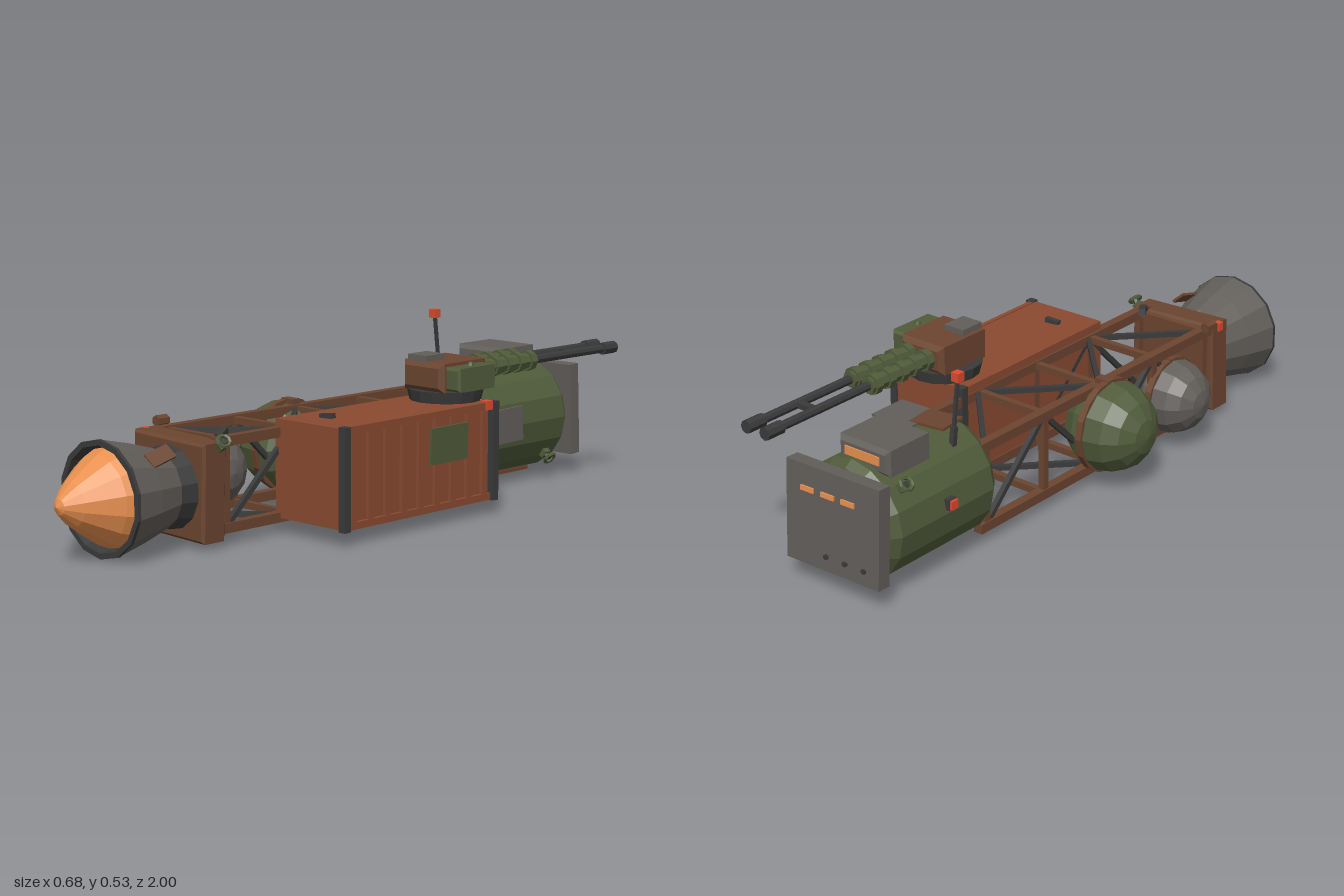
import * as THREE from 'three';

const COLORS = {
  rust: 0x8a4a30, brown: 0x6b4530, green: 0x505b3a, grey: 0x625e5a, dark: 0x3a3a3b,
  orange: 0xe8904f, red: 0xdc4a2e, yellow: 0xc39a2a,
};
const mats = {};
for (const k in COLORS) {
  mats[k] = new THREE.MeshStandardMaterial({ color: COLORS[k], flatShading: true, side: THREE.DoubleSide });
}

export function createModel() {
  const root = new THREE.Group();
  const group = (name) => { const g = new THREE.Group(); g.name = name; root.add(g); return g; };
  const put = (parent, name, geo, color, pos = [0, 0, 0], rot = [0, 0, 0]) => {
    const m = new THREE.Mesh(geo, mats[color]);
    m.name = name;
    m.position.set(...pos);
    m.rotation.set(...rot);
    parent.add(m);
    return m;
  };
  const box = (parent, name, color, size, pos, rot) =>
    put(parent, name, new THREE.BoxGeometry(...size), color, pos, rot);
  // Solid of revolution along z, from [radius, z] pairs
  const latheZ = (parent, name, color, pts, sides, pos) => {
    const geo = new THREE.LatheGeometry(pts.map(([r, z]) => new THREE.Vector2(r, z)), sides);
    return put(parent, name, geo.rotateX(Math.PI / 2), color, pos);
  };
  // Square bar between two points
  const beam = (parent, name, color, a, b, t) => {
    const p = new THREE.Vector3(...a), q = new THREE.Vector3(...b);
    const m = box(parent, name, color, [t, t, p.distanceTo(q)], p.clone().lerp(q, 0.5).toArray());
    m.lookAt(q);
    return m;
  };
  // Box with chamfered edges
  const chamferBox = (parent, name, color, [w, h, d], c, pos) => {
    const x = w / 2 - c, y = h / 2 - c, s = new THREE.Shape();
    s.moveTo(-x, -y); s.lineTo(x, -y); s.lineTo(x, y); s.lineTo(-x, y); s.closePath();
    const geo = new THREE.ExtrudeGeometry(s, {
      depth: d - 2 * c, bevelEnabled: true, bevelSize: c, bevelThickness: c, bevelSegments: 1,
    }).translate(0, 0, c - d / 2);
    return put(parent, name, geo, color, pos);
  };
  // Small hand-wheel valve
  const valve = (name, pos, rot) => {
    const g = group(name);
    g.position.set(...pos);
    g.rotation.set(...rot);
    put(g, 'valveStem', new THREE.CylinderGeometry(0.009, 0.012, 0.04, 6), 'dark');
    put(g, 'valveWheel', new THREE.TorusGeometry(0.018, 0.006, 5, 8), 'green', [0, 0.02, 0], [Math.PI / 2, 0, 0]);
    box(g, 'valveBody', 'green', [0.025, 0.02, 0.025], [0, -0.005, 0]);
  };

  // Truss spine
  const truss = group('truss');
  const L = -0.165, R = 0.073, B = 0.05, T = 0.29;
  for (const x of [L, R]) for (const y of [B, T]) beam(truss, 'longeron', 'brown', [x, y, -0.53], [x, y, 0.54], 0.028);
  for (let i = 0; i < 5; i++) {
    const z = -0.5 + i * 0.25;
    for (const y of [B, T]) beam(truss, 'crossBar', 'brown', [L, y, z], [R, y, z], 0.02);
    for (const x of [L, R]) beam(truss, 'upright', 'brown', [x, B, z], [x, T, z], 0.02);
    if (i === 4) break;
    const [x0, x1] = i % 2 ? [R, L] : [L, R];
    const [y0, y1] = i % 2 ? [T, B] : [B, T];
    for (const y of [B, T]) beam(truss, 'diagonal', 'dark', [x0, y, z], [x1, y, z + 0.25], 0.015);
    for (const x of [L, R]) beam(truss, 'diagonal', 'dark', [x, y0, z], [x, y1, z + 0.25], 0.015);
  }

  // Engine, nozzle and exhaust plume
  const engine = group('engine');
  const axis = [-0.031, 0.164, 0];
  chamferBox(engine, 'engineMount', 'brown', [0.29, 0.275, 0.085], 0.008, [-0.04, 0.163, 0.565]).rotation.z = -0.03;
  latheZ(engine, 'collar', 'dark', [[0, 0.6], [0.12, 0.6], [0.107, 0.665], [0, 0.665]], 14, axis);
  latheZ(engine, 'bell', 'grey', [[0.085, 0.64], [0.112, 0.66], [0.138, 0.75], [0.162, 0.853]], 14, axis);
  latheZ(engine, 'bellRim', 'dark', [[0.162, 0.845], [0.162, 0.855], [0.146, 0.855], [0.139, 0.81], [0.1, 0.7]], 14, axis);
  latheZ(engine, 'plume', 'orange',
    [[0.138, 0.82], [0.122, 0.86], [0.095, 0.9], [0.06, 0.95], [0.022, 0.99], [0, 1]], 14, axis);
  box(engine, 'bellPatch', 'brown', [0.045, 0.008, 0.08], [0.06, 0.275, 0.72], [0.25, 0, -0.75]);
  box(engine, 'mountLamp', 'red', [0.02, 0.026, 0.02], [-0.177, 0.292, 0.565]);
  put(engine, 'pipeCap', new THREE.CylinderGeometry(0.016, 0.016, 0.04, 6), 'brown', [-0.187, 0.315, 0.5], [Math.PI / 2, 0, 0]);
  beam(engine, 'mountStrut', 'dark', [0.04, 0.31, 0.47], [0.07, 0.3, 0.52], 0.022);
  valve('mountValve', [0.115, 0.29, 0.55], [0.3, 0, -0.8]);

  // Strapped spherical tanks
  for (const [name, color, r, x, y, z] of [
    ['greenTank', 'green', 0.134, -0.211, 0.18, 0], ['greyTank', 'grey', 0.112, -0.189, 0.152, 0.325],
  ]) {
    const g = group(name);
    g.position.set(x, y, z);
    put(g, 'sphere', new THREE.SphereGeometry(r, 12, 8).rotateZ(Math.PI / 2), color);
    put(g, 'strap', new THREE.CylinderGeometry(r + 0.006, r + 0.006, 0.02, 16), 'brown', [0.012, 0, 0], [0, 0, Math.PI / 2]);
    for (const dy of [-1, 1]) box(g, 'bracket', 'brown', [0.05, 0.02, 0.03], [0.025, dy * r * 0.97, 0]);
  }

  // Cargo container on the left side
  const cargo = group('container');
  cargo.position.set(0.19, 0.188, -0.012);
  cargo.rotation.y = 0.01;
  box(cargo, 'containerBody', 'rust', [0.25, 0.28, 0.63]);
  for (let i = 0; i < 9; i++) box(cargo, 'rib', 'rust', [0.012, 0.255, 0.022], [0.129, 0, -0.272 + i * 0.068]);
  for (const y of [-0.133, 0.133]) box(cargo, 'sideRail', 'rust', [0.014, 0.02, 0.61], [0.129, y, 0]);
  for (const [x, z] of [[0.134, 0.308], [0.134, -0.308], [-0.118, -0.312]]) {
    box(cargo, 'cornerPost', 'dark', [0.024, 0.29, 0.024], [x, 0, z]);
  }
  box(cargo, 'sidePatch', 'green', [0.008, 0.105, 0.155], [0.139, 0.046, -0.11], [0, 0, -0.03]);
  for (let i = 0; i < 8; i++) {
    box(cargo, 'hazardStripe', i % 2 ? 'dark' : 'yellow', [0.029, 0.03, 0.006], [-0.1 + i * 0.029, -0.118, -0.317]);
  }
  box(cargo, 'roofLatch', 'dark', [0.045, 0.014, 0.016], [-0.022, 0.146, 0.215], [0, 0.15, 0.1]);
  box(cargo, 'cornerLamp', 'red', [0.026, 0.026, 0.026], [0.13, 0.135, -0.283]);

  // Twin-barrel turret
  const turret = group('turret');
  put(turret, 'turretRing', new THREE.CylinderGeometry(0.112, 0.104, 0.034, 16), 'dark', [0.19, 0.348, -0.26]);
  chamferBox(turret, 'turretBody', 'brown', [0.156, 0.085, 0.2], 0.014, [0.188, 0.406, -0.26]);
  box(turret, 'hatch', 'grey', [0.07, 0.018, 0.08], [0.16, 0.456, -0.21]);
  chamferBox(turret, 'ammoBox', 'green', [0.055, 0.068, 0.16], 0.007, [0.296, 0.406, -0.25]);
  put(turret, 'ammoKnob', new THREE.CylinderGeometry(0.008, 0.012, 0.012, 6), 'green', [0.296, 0.444, -0.25]);
  for (const x of [0.154, 0.222]) {
    const rod = (name, color, r, z0, z1) => put(turret, name,
      new THREE.CylinderGeometry(r, r, z1 - z0, 8).rotateX(Math.PI / 2), color, [x, 0.412, (z0 + z1) / 2]);
    rod('barrel', 'dark', 0.013, -0.96, -0.34);
    rod('muzzle', 'dark', 0.019, -1, -0.94);
    rod('shroud', 'green', 0.024, -0.61, -0.37);
    for (let i = 0; i < 5; i++) rod('shroudRing', 'green', 0.031, -0.6 + i * 0.052, -0.578 + i * 0.052);
  }
  box(turret, 'barrelBrace', 'dark', [0.07, 0.016, 0.02], [0.188, 0.412, -0.81]);

  // Rear drum module
  const drum = group('drum');
  const hub = [-0.055, 0.193, 0];
  latheZ(drum, 'drumShell', 'green',
    [[0.12, -0.925], [0.155, -0.92], [0.173, -0.895], [0.173, -0.535], [0.15, -0.505]], 16, hub);
  latheZ(drum, 'drumFrontCap', 'brown', [[0.15, -0.505], [0.12, -0.49], [0, -0.485]], 16, hub);
  latheZ(drum, 'drumNeck', 'brown', [[0, -0.94], [0.13, -0.94], [0.13, -0.9]], 16, hub);
  const plate = new THREE.Group();
  plate.name = 'endPlate';
  plate.position.set(-0.055, 0.208, -0.955);
  plate.rotation.set(0.05, 0.03, 0);
  drum.add(plate);
  box(plate, 'plate', 'grey', [0.32, 0.285, 0.042], [0, 0, 0]);
  for (let i = 0; i < 3; i++) {
    box(plate, 'lightStrip', 'orange', [0.045, 0.014, 0.008], [0.085 - i * 0.07, 0.075, -0.022]);
    put(plate, 'bolt', new THREE.CylinderGeometry(0.008, 0.008, 0.01, 6), 'dark',
      [0.02 - i * 0.065, -0.1, -0.022], [Math.PI / 2, 0, 0]);
  }
  chamferBox(drum, 'roofHousing', 'grey', [0.178, 0.075, 0.17], 0.012, [-0.08, 0.374, -0.795]);
  box(drum, 'roofWindow', 'orange', [0.12, 0.025, 0.006], [-0.08, 0.378, -0.881]);
  box(drum, 'roofPatchBrown', 'brown', [0.11, 0.008, 0.09], [-0.08, 0.375, -0.595], [0, 0.1, -0.03]);
  box(drum, 'roofPatchGrey', 'grey', [0.14, 0.007, 0.12], [0.015, 0.37, -0.61], [0, 0, -0.03]);
  box(drum, 'sidePatch', 'grey', [0.008, 0.105, 0.14], [0.119, 0.198, -0.62], [0.03, 0, 0]);
  box(drum, 'bellyPatch', 'brown', [0.11, 0.012, 0.28], [-0.055, 0.022, -0.72]);
  box(drum, 'sideLampBase', 'dark', [0.02, 0.03, 0.03], [-0.227, 0.22, -0.71]);
  box(drum, 'sideLamp', 'red', [0.018, 0.025, 0.025], [-0.236, 0.22, -0.71]);
  valve('lowerValve', [0.085, 0.078, -0.845], [0, 0, -2.2]);
  valve('upperValve', [-0.19, 0.31, -0.85], [0, 0, 0.8]);

  // Antenna mast
  const antenna = group('antenna');
  beam(antenna, 'mast', 'dark', [-0.152, 0.3, -0.615], [-0.153, 0.51, -0.59], 0.009);
  beam(antenna, 'mastBase', 'dark', [-0.152, 0.3, -0.615], [-0.152, 0.38, -0.605], 0.015);
  box(antenna, 'beacon', 'red', [0.025, 0.026, 0.025], [-0.153, 0.52, -0.588]);

  return root;
}
